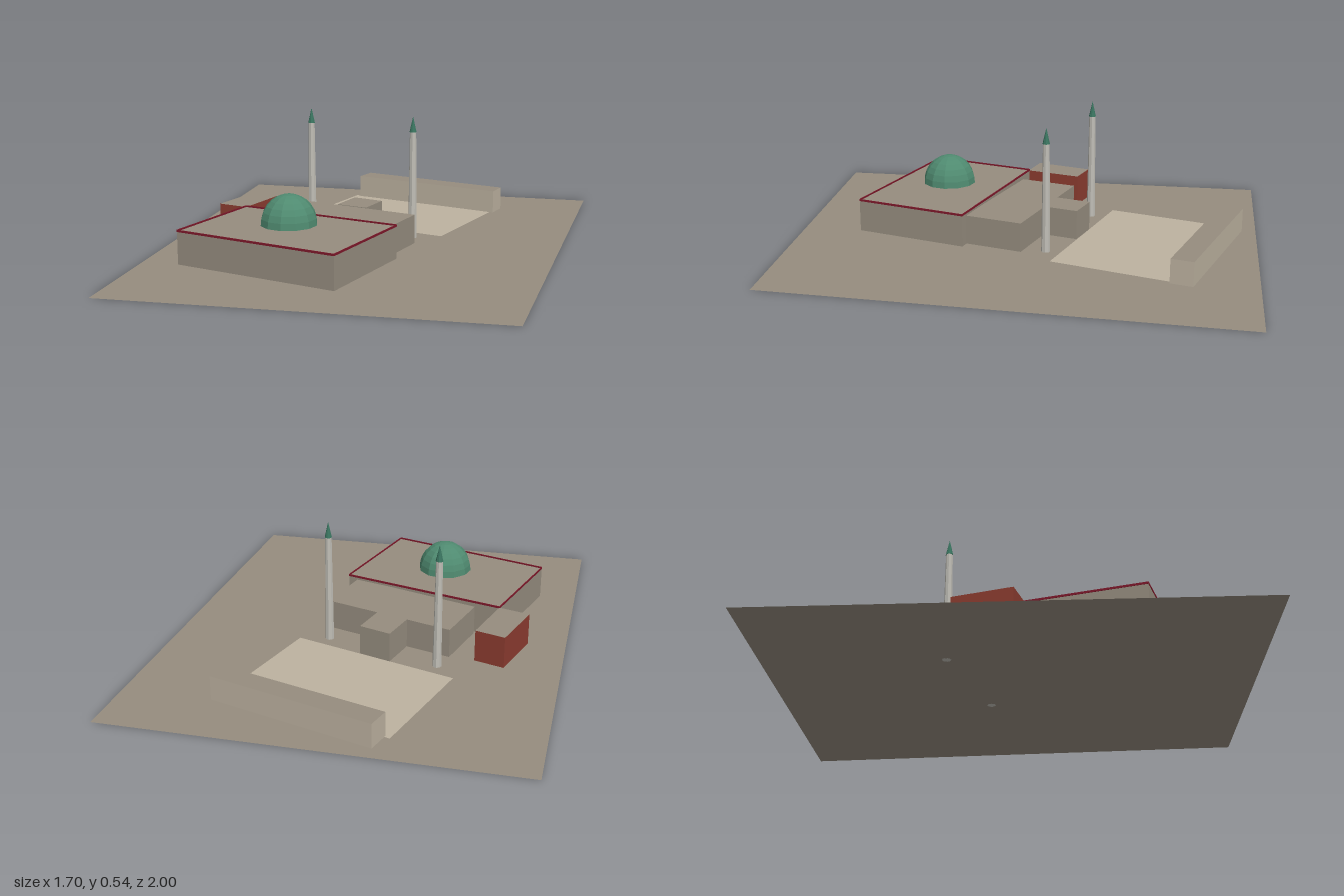
import * as THREE from 'three';

const paint = (name, color, extra = {}) => {
  const m = new THREE.MeshStandardMaterial({ color, ...extra });
  m.name = name;
  return m;
};

export function createModel() {
  const group = new THREE.Group();
  const double = { side: THREE.DoubleSide };
  const stone = paint('stone', 0x968d7f, double);
  const paleStone = paint('paleStone', 0xbdb2a0, double);
  const brick = paint('brickRed', 0x8c3c30);
  const trimRed = paint('trimRed', 0x7e182a, double);
  const domeGreen = paint('domeGreen', 0x4f8a70, { flatShading: true, ...double });
  const spireGreen = paint('spireGreen', 0x3a7560, { flatShading: true });
  const shaftGrey = paint('shaftGrey', 0xc0beb6, { flatShading: true });

  const add = (name, geometry, material, x = 0, y = 0, z = 0, parent = group) => {
    const mesh = new THREE.Mesh(geometry, material);
    mesh.name = name;
    mesh.position.set(x, y, z);
    parent.add(mesh);
    return mesh;
  };
  // Footprint corners are [x, z] pairs
  const footprint = (pts) => new THREE.Shape(pts.map(([x, z]) => new THREE.Vector2(x, -z)));
  const sheet = (name, pts, y, material) =>
    add(name, new THREE.ShapeGeometry(footprint(pts)).rotateX(-Math.PI / 2), material, 0, y);
  const block = (name, pts, height, wall) => {
    const base = 0.002;
    const geo = new THREE.ExtrudeGeometry(footprint(pts), { depth: height - base, bevelEnabled: false });
    return add(name, geo.rotateX(-Math.PI / 2), [stone, wall], 0, base);
  };

  // Site and courtyard
  sheet('ground', [[-0.85, 1], [0.74, 0.96], [0.845, -1], [-0.85, -1]], 0, stone);
  sheet('courtyard', [[-0.43, -0.355], [0.27, -0.15], [0.42, -0.645], [-0.28, -0.86]], 0.003, paleStone);

  // Buildings
  const hall = [[-0.692, 0.52], [0.012, 0.725], [0.15, 0.24], [-0.558, 0.055]];
  block('mainHall', hall, 0.14, stone);
  block('annex', [[-0.45, 0.068], [0.108, 0.235], [0.176, -0.015], [-0.383, -0.177]], 0.128, stone);
  block('porch', [[-0.192, -0.123], [-0.055, -0.085], [-0.015, -0.23], [-0.15, -0.272]], 0.13, stone);
  block('brickHouse', [[-0.69, 0.022], [-0.557, 0.058], [-0.49, -0.182], [-0.617, -0.22]], 0.14, brick);
  block('longWing', [[-0.26, -0.845], [0.435, -0.645], [0.46, -0.738], [-0.23, -0.94]], 0.105, paleStone);

  // Thin red parapet around the hall roof
  const parapet = new THREE.Group();
  parapet.name = 'roofTrim';
  hall.forEach(([x, z], i) => {
    const [x2, z2] = hall[(i + 1) % hall.length];
    const dx = x2 - x, dz = z2 - z;
    const edge = add('trimEdge', new THREE.BoxGeometry(Math.hypot(dx, dz), 0.009, 0.003), trimRed,
      (x + x2) / 2, 0.1425, (z + z2) / 2, parapet);
    edge.rotation.y = -Math.atan2(dz, dx);
  });
  group.add(parapet);

  // Dome
  const profile = [];
  for (let i = 0; i <= 7; i++) {
    const a = (i / 7) * Math.PI / 2;
    profile.push(new THREE.Vector2(i === 7 ? 0 : 0.117 * Math.cos(a), 0.125 * Math.sin(a)));
  }
  add('dome', new THREE.LatheGeometry(profile, 12), domeGreen, -0.265, 0.16, 0.38);

  // Minarets
  for (const [x, z] of [[-0.347, -0.26], [0.147, -0.117]]) {
    const minaret = new THREE.Group();
    minaret.name = 'minaret';
    minaret.position.set(x, 0, z);
    add('shaft', new THREE.CylinderGeometry(0.014, 0.019, 0.47, 8), shaftGrey, 0, 0.235, 0, minaret);
    add('spire', new THREE.ConeGeometry(0.0155, 0.068, 8), spireGreen, 0, 0.503, 0, minaret);
    group.add(minaret);
  }
  return group;
}
